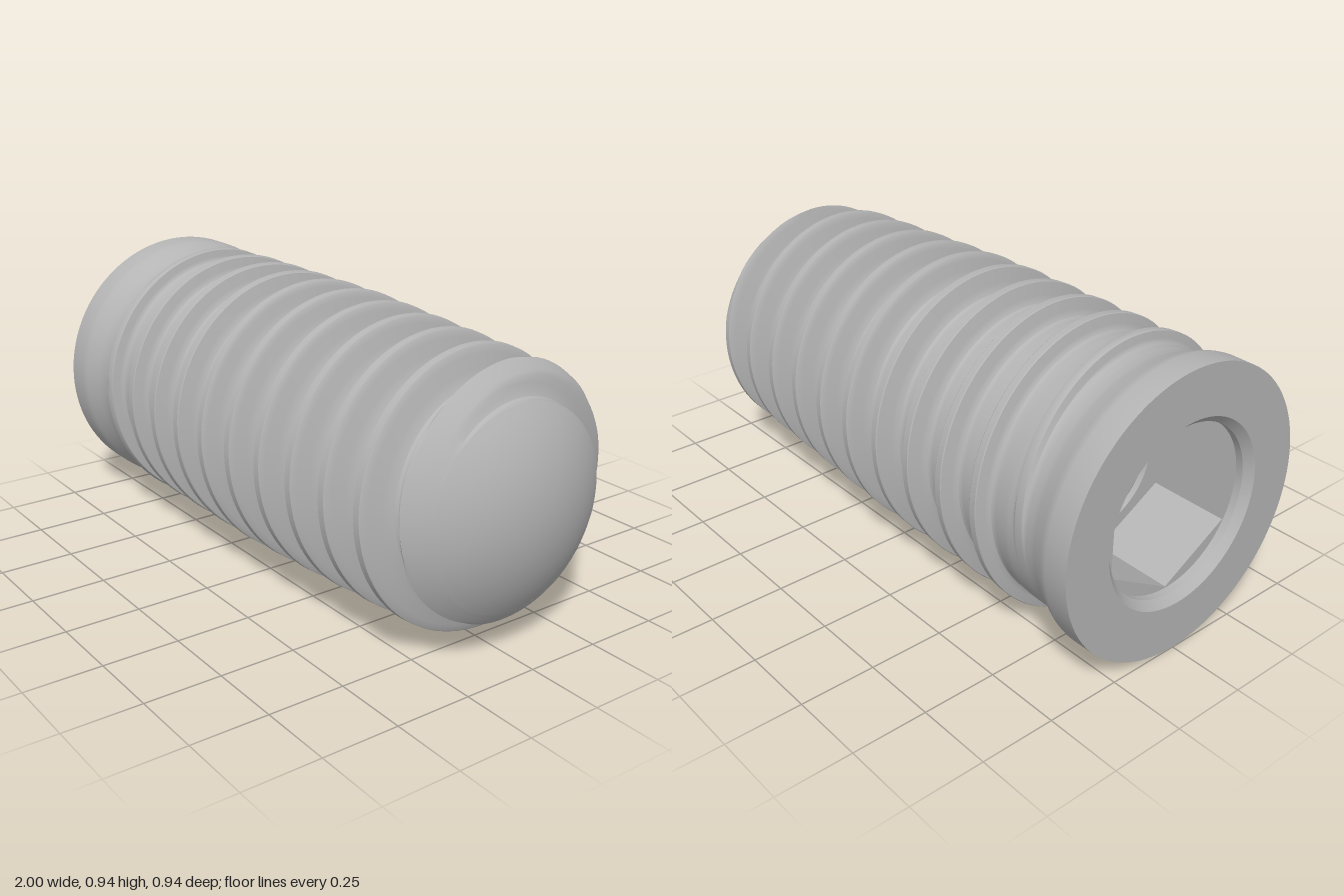
import * as THREE from 'three';
import { toCreasedNormals } from 'three/addons/utils/BufferGeometryUtils.js';

const PITCH = 0.157;       // axial advance per turn
const START = -0.8;        // thread zone limits along the axis
const END = 0.905;
const DOME_R = 0.586;      // radius of the rounded tip
const CORE = [[-0.8, 0.432], [-0.72, 0.43], [-0.66, 0.422], [0, 0.383], [0.77, 0.325], [END, 0.32]];

const metal = new THREE.MeshStandardMaterial({ color: 0xb4b4b4 });
metal.name = 'brushed metal';

const clamp = THREE.MathUtils.clamp;

// Piecewise linear lookup
function lookup(table, x) {
  for (let i = 1; i < table.length; i++) {
    const [x0, y0] = table[i - 1], [x1, y1] = table[i];
    if (x <= x1) return y0 + (y1 - y0) * clamp((x - x0) / (x1 - x0), 0, 1);
  }
  return table[table.length - 1][1];
}

// Keeps sharp edges; scaled up so that close vertices stay distinct
function crease(geometry, angle = 0.5) {
  geometry.scale(100, 100, 100);
  const out = toCreasedNormals(geometry, angle);
  out.scale(0.01, 0.01, 0.01);
  return out;
}

function part(name, geometry) {
  const mesh = new THREE.Mesh(geometry, metal);
  mesh.name = name;
  return mesh;
}

function lathe(points, segments = 96) {
  return crease(new THREE.LatheGeometry(points.map(p => new THREE.Vector2(p[0], p[1])), segments));
}

// One pitch of the thread as [axial offset, relative height]
function threadProfile(h) {
  const w = 0.013 + 0.28 * h, half = PITCH / 2, root = w + 0.012;
  const side = [];
  for (let i = 0; i <= 5; i++) side.push([half + (root - half) * i / 5, 0]);
  side.push([w + 0.003, 0.05], [w - 0.004 * h / 0.08, 0.2]);
  for (let i = 1; i <= 3; i++) {
    const t = i / 4;
    side.push([w - 0.004 * h / 0.08 + (0.015 - w + 0.004 * h / 0.08) * t, 0.2 + 0.76 * t]);
  }
  side.push([0.015, 0.96], [0.012, 1]);
  return [...side.map(([o, s]) => [-o, s]), [0, 1], ...side.reverse()];
}

// Tapered core and helical thread, one continuous ribbon trimmed by the tip sphere
function threadGeometry() {
  const perTurn = 96, first = -perTurn, last = 11.5 * perTurn;
  const rows = [];
  for (let i = first; i <= last; i++) {
    const turn = i / perTurn, a = turn * Math.PI * 2;
    const centre = -0.735 + PITCH * turn;
    const crest = 0.469 - 0.05 * Math.max(0, centre);
    const h = crest - lookup(CORE, centre);
    const fade = THREE.MathUtils.smoothstep(turn, -0.3, 0);
    rows.push(threadProfile(h).map(([o, s]) => {
      const x = clamp(centre + o, START, END);
      const clipped = x === START || x === END;
      let r = lookup(CORE, x) + (clipped ? 0 : s * h * fade);
      const d = x - 1 + DOME_R;
      if (x > 0.7) r = Math.min(r, Math.sqrt(DOME_R * DOME_R - d * d));
      if (x === END) r = 0.32;
      return [-r * Math.cos(a), x, r * Math.sin(a)];
    }));
  }
  const pos = [];
  const tri = (a, b, c) => {
    const inRange = [a, b, c].some(p => p[1] > START && p[1] < END);
    if (inRange) pos.push(...a, ...b, ...c);
  };
  for (let i = 0; i + 1 < rows.length; i++) {
    for (let j = 0; j + 1 < rows[i].length; j++) {
      const a = rows[i][j], b = rows[i + 1][j], c = rows[i + 1][j + 1], d = rows[i][j + 1];
      tri(a, b, d);
      tri(b, c, d);
    }
  }
  const g = new THREE.BufferGeometry();
  g.setAttribute('position', new THREE.Float32BufferAttribute(pos, 3));
  return crease(g);
}

function circlePoints(r, n) {
  return Array.from({ length: n }, (_, i) => {
    const a = i / n * Math.PI * 2;
    return new THREE.Vector2(r * Math.cos(a), r * Math.sin(a));
  });
}

// Flat ledge facing the socket opening
function ledge(outer, inner, y) {
  const shape = new THREE.Shape(outer);
  shape.holes.push(new THREE.Path(inner));
  return new THREE.ShapeGeometry(shape).rotateX(Math.PI / 2).translate(0, y, 0);
}

export function createModel() {
  const model = new THREE.Group();
  model.name = 'threadedFixture';

  // Everything is turned about the local y axis, then laid along x
  const body = new THREE.Group();
  body.name = 'body';
  body.rotation.z = -Math.PI / 2;
  body.position.y = 0.47;
  model.add(body);

  // Collar with chamfered socket mouth
  body.add(part('collar', lathe([
    [0.28, -0.95], [0.28, -0.975], [0.305, -1], [0.469, -1], [0.469, -0.92],
    [0.466, -0.905], [0.46, -0.89], [0.44, -0.845], [0.434, -0.825], [0.432, START],
  ])));

  body.add(part('threadedCore', threadGeometry()));

  // Rounded tip
  const dome = [];
  const rim = Math.asin(0.32 / DOME_R);
  for (let i = 0; i <= 16; i++) {
    const a = rim * (1 - i / 16);
    dome.push([DOME_R * Math.sin(a), 1 - DOME_R + DOME_R * Math.cos(a)]);
  }
  body.add(part('domedTip', lathe(dome)));

  // Hexagonal socket
  const hexR = 0.275, hexTop = -0.95, hexEnd = -0.68, boreR = 0.2;
  const hex = circlePoints(hexR, 6);
  body.add(part('socketLedge', ledge(circlePoints(0.28, 96), hex, hexTop)));
  const walls = [];
  for (let i = 0; i < 6; i++) {
    const p = hex[i], q = hex[(i + 1) % 6];
    const a = [p.x, hexTop, p.y], b = [q.x, hexTop, q.y];
    const c = [q.x, hexEnd, q.y], d = [p.x, hexEnd, p.y];
    walls.push(...a, ...b, ...c, ...a, ...c, ...d);
  }
  const wallGeometry = new THREE.BufferGeometry();
  wallGeometry.setAttribute('position', new THREE.Float32BufferAttribute(walls, 3));
  wallGeometry.computeVertexNormals();
  body.add(part('hexSocket', wallGeometry));
  body.add(part('socketFloor', ledge(hex, circlePoints(boreR, 64), hexEnd)));

  // Ringed screw bore below the socket
  const bore = [[0, -0.1], [0.17, -0.15]];
  for (let y = -0.2; y > hexEnd + 0.08; y -= 0.08) {
    bore.push([0.17, y], [0.2, y - 0.025], [0.2, y - 0.04], [0.17, y - 0.065]);
  }
  bore.push([boreR, hexEnd + 0.02], [boreR, hexEnd]);
  body.add(part('screwBore', lathe(bore, 64)));

  return model;
}
